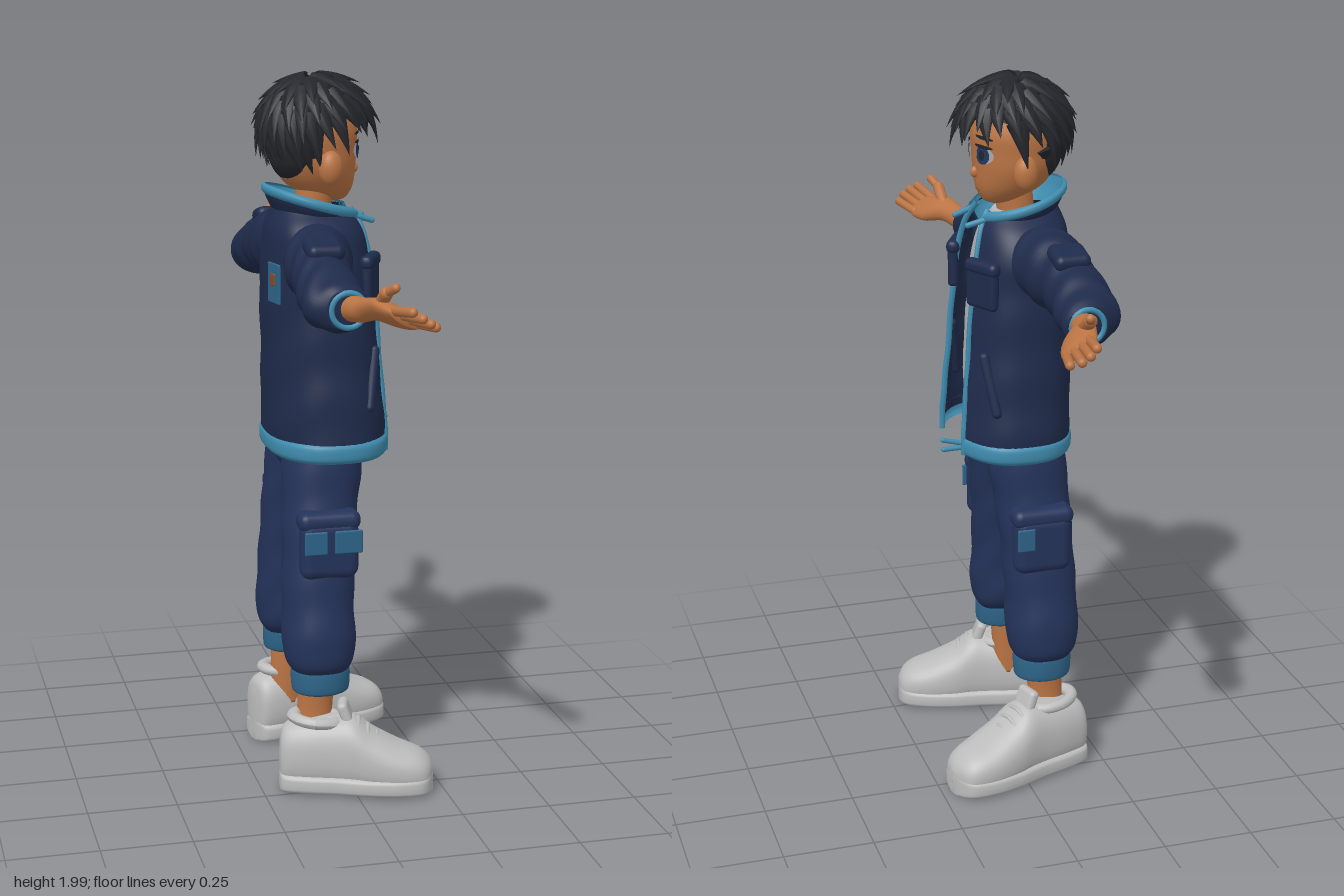
import * as THREE from 'three';
import { mergeGeometries, mergeVertices } from 'three/addons/utils/BufferGeometryUtils.js';
import { RoundedBoxGeometry } from 'three/addons/geometries/RoundedBoxGeometry.js';

const V = (x, y, z) => new THREE.Vector3(x, y, z);
const paint = (name, color, side = THREE.FrontSide) => {
  const m = new THREE.MeshStandardMaterial({ color, side });
  m.name = name;
  return m;
};

// Smooth skin through sections [t, centreU, centreV, radiusU, radiusV];
// (t,u,v) is (x,y,z), (y,z,x) or (z,x,y). Angle 0 points along u.
const AXES = { x: [0, 1, 2], y: [1, 2, 0], z: [2, 0, 1] };
function surface(axis, secs, { exp = 2, wave = 0, freq = 45 } = {}) {
  const n = secs.length - 1, [T, U, W] = AXES[axis];
  const spline = new THREE.CubicInterpolant(secs.map((_, i) => i), new Float32Array(secs.flat()), 5);
  const pow = c => Math.sign(c) * Math.abs(c) ** (2 / exp);
  return (s, a) => {
    const [t, cu, cv, ru, rv] = spline.evaluate(s * n);
    const w = 1 + wave * Math.sin(freq * t + 2 * Math.sin(a) + 1.5 * Math.cos(2 * a));
    return V().setComponent(T, t)
      .setComponent(U, cu + Math.max(ru, 0.002) * w * pow(Math.cos(a)))
      .setComponent(W, cv + Math.max(rv, 0.002) * w * pow(Math.sin(a)));
  };
}

// gap = half angle left open at the first and last section
function skin(surf, { gap = [0, 0], rows = 28, cols = 36, caps = true, rule } = {}) {
  const pos = [], idx = [], w = cols + 1;
  for (let i = 0; i <= rows; i++) for (let j = 0; j <= cols; j++) {
    const g = THREE.MathUtils.lerp(gap[0], gap[1], i / rows);
    const p = surf(i / rows, g + (j / cols) * 2 * (Math.PI - g));
    if (rule) rule(p);
    pos.push(p.x, p.y, p.z);
  }
  for (let i = 0; i < rows; i++) for (let j = 0; j < cols; j++) {
    const a = i * w + j;
    idx.push(a, a + 1, a + w, a + 1, a + w + 1, a + w);
  }
  if (caps && !gap[0]) for (const row of [0, rows]) {
    const c = pos.length / 3, o = row * w, h = o + cols / 2;
    for (let k = 0; k < 3; k++) pos.push((pos[o * 3 + k] + pos[h * 3 + k]) / 2);
    for (let j = 0; j < cols; j++) idx.push(c, ...(row ? [o + j, o + j + 1] : [o + j + 1, o + j]));
  }
  const g = new THREE.BufferGeometry();
  g.setAttribute('position', new THREE.Float32BufferAttribute(pos, 3));
  g.setIndex(idx);
  const m = mergeVertices(g, 1e-5);
  m.computeVertexNormals();
  return m;
}
const loft = (axis, secs, opt = {}) => skin(surface(axis, secs, opt), opt);

function mirrored(geo) {
  const g = geo.clone().scale(-1, 1, 1), ix = g.index.array;
  for (let i = 0; i < ix.length; i += 3) [ix[i], ix[i + 1]] = [ix[i + 1], ix[i]];
  g.computeVertexNormals();
  return g;
}
function limb(a, b, r) {
  const d = b.clone().sub(a), g = new THREE.CapsuleGeometry(r, d.length(), 5, 12), mid = a.clone().add(b).multiplyScalar(0.5);
  const q = new THREE.Quaternion().setFromUnitVectors(V(0, 1, 0), d.normalize());
  return g.applyQuaternion(q).translate(mid.x, mid.y, mid.z);
}
const ball = (rx, ry, rz, x, y, z) => new THREE.SphereGeometry(1, 28, 20).scale(rx, ry, rz).translate(x, y, z);
const tube = (pts, r, n = 40) => new THREE.TubeGeometry(new THREE.CatmullRomCurve3(pts), n, r, 7);
function box(w, h, d, x, y, z, rx = 0, ry = 0, rz = 0) {
  const g = mergeVertices(new RoundedBoxGeometry(w, h, d, 3, Math.min(w, h, d) * 0.45));
  return g.rotateX(rx).rotateZ(rz).rotateY(ry).translate(x, y, z);
}

export function createModel() {
  const D = THREE.DoubleSide;
  const skinTone = paint('skin', 0xba7444), hairInk = paint('hair', 0x25262c, D);
  const navy = paint('jacketNavy', 0x1f2b4b, D), denim = paint('trouserNavy', 0x24335a);
  const teal = paint('brightTeal', 0x3f8cae, D), deepTeal = paint('deepTeal', 0x2d6488);
  const cotton = paint('shirtGrey', 0xb6b6b6), shoeGrey = paint('shoeGrey', 0xbcbcbc);
  const irisBlue = paint('irisBlue', 0x263a63), brown = paint('brown', 0x87492b);

  const body = new THREE.Group(), head = new THREE.Group();
  body.name = 'figure';
  head.name = 'head';
  body.add(head);
  const add = (name, geo, mat, parent = body) => {
    const m = new THREE.Mesh(geo, mat);
    m.name = name;
    parent.add(m);
    return m;
  };
  const both = (name, geo, mat, parent) => {
    add('left' + name, geo, mat, parent);
    add('right' + name, mirrored(geo), mat, parent);
  };

  // Head, ears and face
  add('face', loft('y', [[1.633, 0.005, 0, 0.015, 0.015], [1.645, -0.002, 0, 0.047, 0.045], [1.68, -0.03, 0, 0.092, 0.085],
    [1.73, -0.045, 0, 0.112, 0.112], [1.78, -0.05, 0, 0.12, 0.118], [1.84, -0.05, 0, 0.12, 0.118],
    [1.91, -0.05, 0, 0.085, 0.085], [1.94, -0.05, 0, 0.01, 0.01]]), skinTone, head);
  add('nose', ball(0.012, 0.016, 0.014, 0, 1.722, 0.066), skinTone, head);
  add('mouth', limb(V(-0.014, 1.673, 0.057), V(0.014, 1.673, 0.057), 0.0025), brown, head);
  both('Ear', ball(0.03, 0.048, 0.034, 0.118, 1.735, -0.035), skinTone, head);
  add('neck', loft('y', [[1.54, -0.06, 0, 0.06, 0.062], [1.6, -0.055, 0, 0.052, 0.052], [1.7, -0.045, 0, 0.052, 0.052]]), skinTone);
  const onFace = (w, h, x, y, lift, tilt = 0) => {
    const g = new THREE.CircleGeometry(1, 24).scale(w, h, 1).rotateZ(tilt).translate(x, y, 0), p = g.attributes.position;
    for (let i = 0; i < p.count; i++) p.setZ(i, -0.05 + 0.12 * Math.sqrt(1 - (p.getX(i) / 0.118) ** 2) + lift);
    return g;
  };
  both('EyeWhite', onFace(0.029, 0.023, 0.05, 1.777, 0.003), cotton, head);
  both('Iris', onFace(0.022, 0.025, 0.048, 1.777, 0.005), irisBlue, head);
  both('Pupil', onFace(0.01, 0.014, 0.048, 1.777, 0.007), hairInk, head);
  both('Lash', onFace(0.029, 0.005, 0.051, 1.801, 0.007, -0.08), hairInk, head);
  both('Brow', onFace(0.028, 0.005, 0.052, 1.825, 0.006, -0.12), hairInk, head);

  // Hair: cap, nape and swept pointed locks
  const locks = [];
  let seed = 7;
  const rnd = () => (seed = (seed * 16807) % 2147483647) / 2147483647;
  for (let i = 0; i < 120; i++) {
    const phi = Math.acos(1 - ((i + 0.5) / 120) * 1.45), th = i * 2.39996;
    const n = V(Math.sin(phi) * Math.sin(th), Math.cos(phi), Math.sin(phi) * Math.cos(th));
    if (phi > (n.z > 0.3 ? 1.25 : n.z > -0.25 ? 1.42 : 2.1)) continue;
    const flow = V(Math.cos(phi) * Math.sin(th), -Math.sin(phi), Math.cos(phi) * Math.cos(th));
    flow.addScaledVector(V(Math.cos(th), 0, -Math.sin(th)), 0.3 + 0.3 * (rnd() - 0.5)).addScaledVector(n, 0.22).normalize();
    const side = V().crossVectors(flow, n).normalize(), out = V().crossVectors(side, flow);
    const h = 0.085 + 0.04 * rnd();
    const g = new THREE.ConeGeometry(0.032, h, 8, 5).translate(0, h / 2, 0).scale(1, 1, 0.55), p = g.attributes.position;
    for (let k = 0; k < p.count; k++) p.setZ(k, p.getZ(k) - 2.2 * p.getY(k) ** 2);
    g.applyMatrix4(new THREE.Matrix4().makeBasis(side, flow, out));
    locks.push(g.translate(n.x * 0.127, 1.85 + n.y * 0.122, -0.045 + n.z * 0.143));
  }
  const lockGeo = mergeGeometries(locks);
  lockGeo.computeVertexNormals();
  add('hairLocks', lockGeo, hairInk, head);
  add('hairCap', new THREE.SphereGeometry(1, 32, 16, 0, Math.PI * 2, 0, 1.55).rotateX(-0.35).scale(0.13, 0.122, 0.145)
    .translate(0, 1.85, -0.045), hairInk, head);
  add('hairNape', ball(0.112, 0.1, 0.075, 0, 1.785, -0.1), hairInk, head);
  head.position.x = 0.015;
  head.rotation.y = 0.07;

  // Shirt
  add('shirt', loft('y', [[0.985, -0.04, 0, 0.12, 0.185], [1.2, -0.04, 0, 0.122, 0.175], [1.45, -0.05, 0, 0.112, 0.165],
    [1.55, -0.055, 0, 0.095, 0.13], [1.61, -0.055, 0, 0.06, 0.065]], { exp: 2.3, wave: 0.008 }), cotton);

  // Open jacket with hem, collar and zip edges
  const jacketGap = [0.42, 0.36];
  const jacket = surface('y', [[0.97, -0.025, 0, 0.163, 0.235], [1.05, -0.028, 0, 0.164, 0.232], [1.2, -0.035, 0, 0.157, 0.217],
    [1.4, -0.045, 0, 0.15, 0.205], [1.5, -0.05, 0, 0.14, 0.2], [1.57, -0.055, 0, 0.13, 0.172], [1.62, -0.06, 0, 0.105, 0.115]],
  { exp: 2.4, wave: 0.01, freq: 38 });
  add('jacket', skin(jacket, { gap: jacketGap, rows: 48, cols: 56 }), navy);
  add('jacketHem', loft('y', [[0.942, -0.025, 0, 0.16, 0.232], [0.955, -0.025, 0, 0.17, 0.242], [0.985, -0.025, 0, 0.17, 0.242],
    [0.998, -0.025, 0, 0.16, 0.232]], { exp: 2.4, gap: [0.42, 0.42], rows: 12 }), teal);
  const zip = [...Array(13).keys()].map(i => jacket(i / 12, THREE.MathUtils.lerp(...jacketGap, i / 12)));
  both('ZipEdge', tube([V(zip[0].x, 0.945, zip[0].z), ...zip], 0.0085), teal);
  const slope = p => { p.y -= 0.28 * (p.z + 0.06); };
  const collar = (name, secs, mat) => add(name, loft('y', secs, { gap: [0.4, 0.55], rows: 8, rule: slope }), mat);
  collar('collar', [[1.59, -0.06, 0, 0.108, 0.118], [1.615, -0.06, 0, 0.122, 0.134], [1.635, -0.06, 0, 0.128, 0.14]], navy);
  collar('collarLining', [[1.585, -0.06, 0, 0.098, 0.106], [1.615, -0.06, 0, 0.116, 0.128], [1.645, -0.06, 0, 0.125, 0.137]], teal);
  collar('collarRim', [[1.624, -0.06, 0, 0.127, 0.139], [1.632, -0.06, 0, 0.134, 0.146], [1.645, -0.06, 0, 0.134, 0.146],
    [1.652, -0.06, 0, 0.124, 0.136]], teal);
  both('CollarTab', limb(V(0.068, 1.6, 0.05), V(0.06, 1.585, 0.1), 0.008), teal);
  add('hemCordUpper', limb(V(0.1, 0.975, 0.13), V(0.1, 0.99, 0.185), 0.007), teal);
  add('hemCordLower', limb(V(0.105, 0.965, 0.13), V(0.108, 0.965, 0.185), 0.007), teal);

  // Jacket pockets and back patch
  both('ChestPocket', box(0.11, 0.12, 0.03, 0.13, 1.43, 0.078, 0, 0.48), navy);
  both('ChestFlap', box(0.12, 0.04, 0.038, 0.13, 1.485, 0.078, 0, 0.48), navy);
  both('HandPocketWelt', limb(V(0.16, 1.24, 0.083), V(0.203, 1.09, 0.06), 0.014), navy);
  add('backPatch', box(0.075, 0.11, 0.008, -0.115, 1.43, -0.187, 0, 0.2), deepTeal);
  add('backPatchTab', box(0.03, 0.035, 0.008, -0.115, 1.44, -0.19, 0, 0.2), brown);

  // Sleeves
  both('Sleeve', loft('x', [[0.1, 1.5, -0.07, 0.08, 0.08], [0.2, 1.495, -0.085, 0.1, 0.095], [0.3, 1.478, -0.1, 0.09, 0.08],
    [0.38, 1.458, -0.107, 0.084, 0.08], [0.45, 1.437, -0.108, 0.074, 0.085], [0.5, 1.428, -0.1, 0.064, 0.078],
    [0.53, 1.426, -0.085, 0.05, 0.056]], { wave: 0.04, freq: 75, rows: 48 }), navy);
  both('SleevePocket', box(0.1, 0.045, 0.1, 0.325, 1.553, -0.1, 0, 0, -0.22), navy);
  both('SleeveCuffTrim', new THREE.TorusGeometry(0.045, 0.008, 8, 28).rotateY(Math.PI / 2).translate(0.528, 1.426, -0.083), teal);

  // Forearms and hands, palms turned up and forward
  both('Hand', loft('x', [[0.48, 1.425, -0.085, 0.036, 0.036], [0.56, 1.433, -0.06, 0.033, 0.034], [0.61, 1.437, -0.04, 0.029, 0.034],
    [0.66, 1.438, -0.014, 0.03, 0.046], [0.71, 1.441, 0.002, 0.025, 0.047], [0.745, 1.445, 0.01, 0.016, 0.04]],
  { rule: p => { p.y -= Math.max(0, Math.min(1, (p.x - 0.58) / 0.08)) * 0.45 * (p.z + 0.005); } }), skinTone);
  [0.82, 0.848, 0.85, 0.835].forEach((tip, i) => {
    const k = i - 1.5;
    both('Finger' + (i + 1), limb(V(0.72, 1.44 + 0.011 * k, 0.01 - 0.02 * k), V(tip, 1.452 + 0.014 * k, 0.032 - 0.021 * k), 0.0125), skinTone);
  });
  both('Thumb', limb(V(0.645, 1.462, -0.03), V(0.7, 1.498, -0.03), 0.017), skinTone);
  both('ThumbTip', limb(V(0.7, 1.498, -0.03), V(0.737, 1.517, -0.016), 0.012), skinTone);

  // Trousers
  add('hips', loft('y', [[0.875, -0.055, 0, 0.05, 0.02], [0.9, -0.055, 0, 0.095, 0.12], [0.95, -0.05, 0, 0.112, 0.2],
    [1.03, -0.045, 0, 0.112, 0.2]], { exp: 2.3 }), denim);
  both('TrouserLeg', loft('y', [[0.34, -0.078, 0.187, 0.076, 0.066], [0.375, -0.08, 0.183, 0.096, 0.095], [0.43, -0.08, 0.177, 0.102, 0.104],
    [0.52, -0.08, 0.168, 0.101, 0.1], [0.65, -0.075, 0.15, 0.101, 0.098], [0.8, -0.065, 0.127, 0.106, 0.098],
    [0.9, -0.055, 0.108, 0.11, 0.104], [1.0, -0.05, 0.1, 0.11, 0.1]], { exp: 2.2, wave: 0.018, freq: 42, rows: 44 }), denim);
  both('TrouserCuff', loft('y', [[0.28, -0.078, 0.19, 0.07, 0.058], [0.292, -0.078, 0.19, 0.081, 0.07], [0.345, -0.078, 0.188, 0.083, 0.073],
    [0.362, -0.078, 0.188, 0.072, 0.062]]), deepTeal);
  both('CargoPocket', box(0.07, 0.17, 0.165, 0.228, 0.705, -0.063), denim);
  both('CargoFlap', box(0.078, 0.055, 0.175, 0.223, 0.785, -0.063), denim);
  const patch = (name, x, z, w) => add(name, box(0.009, 0.065, w, x, 0.73, z), deepTeal);
  patch('rightPatchBack', -0.263, -0.106, 0.064);
  patch('rightPatchFront', -0.263, -0.014, 0.078);
  patch('leftPatch', 0.263, -0.008, 0.05);

  // Ankles and shoes
  both('Ankle', loft('y', [[0.12, -0.095, 0.185, 0.052, 0.045], [0.22, -0.092, 0.178, 0.05, 0.04], [0.32, -0.085, 0.18, 0.052, 0.042]]), skinTone);
  const outline = [[0, 0.09, 0.02, 0.05], [0.015, 0.1, 0.06, 0.088], [0.08, 0.108, 0.073, 0.1], [0.16, 0.11, 0.077, 0.108],
    [0.21, 0.11, 0.083, 0.108], [0.26, 0.09, 0.089, 0.09], [0.33, 0.072, 0.089, 0.07], [0.39, 0.062, 0.077, 0.056],
    [0.42, 0.052, 0.055, 0.043], [0.433, 0.05, 0.015, 0.02]];
  const shoe = [
    loft('z', outline.map(([s, cy, rx, ry]) => [s, 0, cy, rx, ry]), { exp: 2.4, rows: 40, rule: p => { p.y = Math.max(p.y, 0.012); } }),
    loft('z', outline.map(([s, , rx]) => [s, 0, 0.03, rx + 0.005, 0.03]), { exp: 4, rows: 40 }),
    new THREE.TorusGeometry(0.052, 0.016, 10, 28).scale(1, 1.25, 1).rotateX(Math.PI / 2 + 0.1).translate(0, 0.208, 0.105),
    box(0.075, 0.085, 0.03, 0, 0.22, 0.188, -0.35),
    ...[0, 1, 2, 3].map(i => tube([-1, 0, 1].map(k => V(k * 0.04, 0.209 - 0.021 * i - 0.012 * k * k, 0.222 + 0.026 * i)), 0.007, 10)),
  ].map(g => { g.deleteAttribute('uv'); return g; });
  both('Shoe', mergeGeometries(shoe).rotateY(0.29).translate(0.185, 0, -0.195), shoeGrey);

  // The figure looks along +x
  body.rotation.y = Math.PI / 2;
  const model = new THREE.Group();
  model.name = 'standingFigure';
  model.add(body);
  return model;
}
